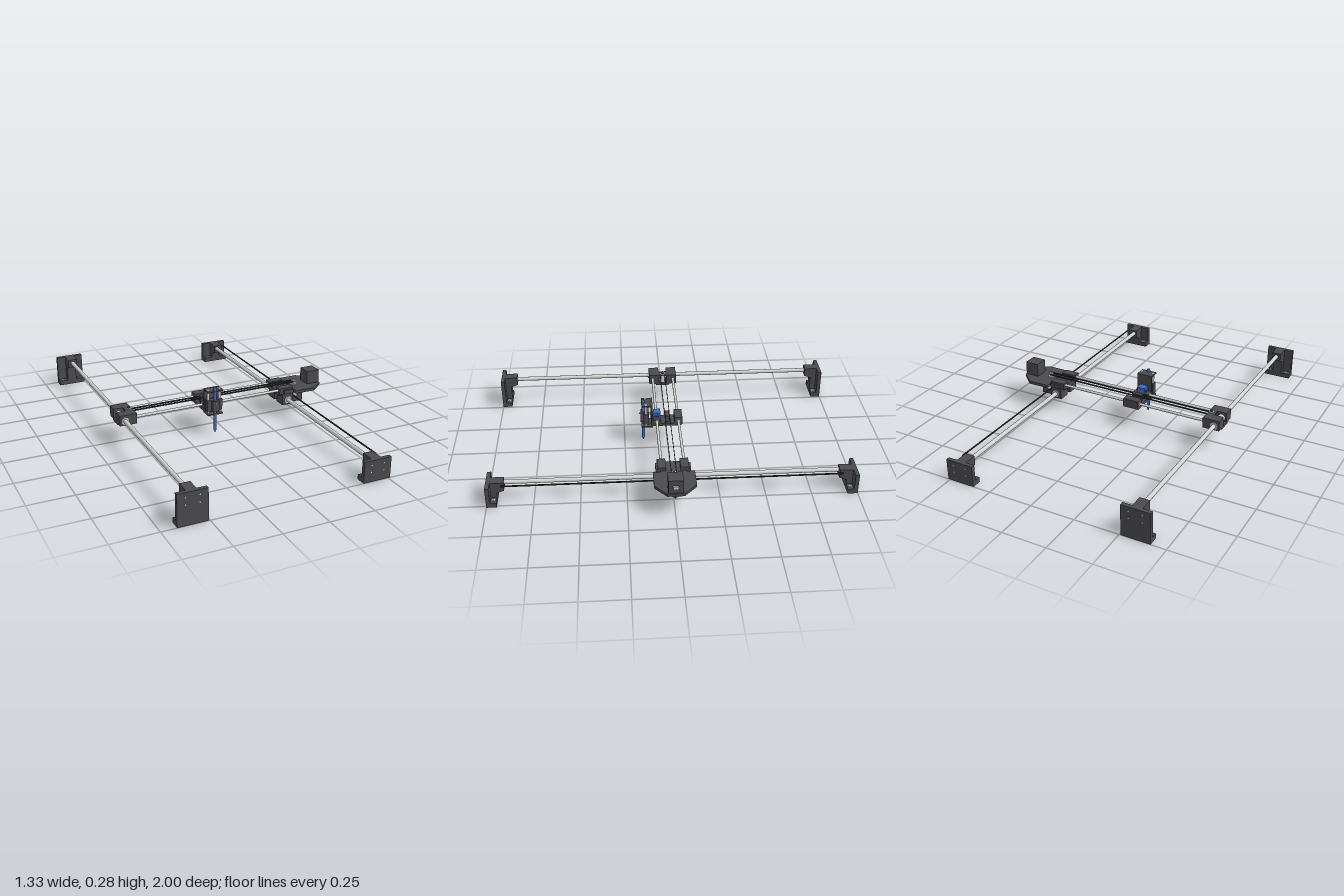
import * as THREE from 'three';

export function createModel() {
  const model = new THREE.Group();
  const mat = (name, color) => {
    const m = new THREE.MeshStandardMaterial({ color });
    m.name = name;
    return m;
  };
  const dark = mat('dark plastic', 0x4b4a4e);
  const steel = mat('steel', 0xcfd0d0);
  const blue = mat('blue plastic', 0x3f6cc0);
  const black = mat('black rubber', 0x262826);

  const add = (name, geo, material, parent = model) => {
    const m = new THREE.Mesh(geo, material);
    m.name = name;
    parent.add(m);
    return m;
  };
  // Box given by its limits on each axis
  const box = (name, x0, x1, y0, y1, z0, z1, material = dark, parent = model) => {
    const m = add(name, new THREE.BoxGeometry(x1 - x0, y1 - y0, z1 - z0), material, parent);
    m.position.set((x0 + x1) / 2, (y0 + y1) / 2, (z0 + z1) / 2);
    return m;
  };
  // Cylinder along an axis, centred on a point
  const rod = (name, axis, r, len, x, y, z, material = steel, parent = model) => {
    const g = new THREE.CylinderGeometry(r, r, len, 24);
    if (axis === 'x') g.rotateZ(Math.PI / 2);
    if (axis === 'z') g.rotateX(Math.PI / 2);
    const m = add(name, g, material, parent);
    m.position.set(x, y, z);
    return m;
  };
  // Outline in (x, z), extruded upward from y0 to y1
  const slab = (name, points, y0, y1, material = dark) => {
    const s = new THREE.Shape(points.map(([x, z]) => new THREE.Vector2(x, -z)));
    const g = new THREE.ExtrudeGeometry(s, { depth: y1 - y0, bevelEnabled: false });
    g.rotateX(-Math.PI / 2);
    add(name, g, material).position.y = y0;
  };

  // End stands: wall plate, base flange and a rod clamp on a rib
  const stand = (x, top, turn) => {
    const g = new THREE.Group();
    g.name = 'endStand';
    box('wallPlate', -0.08, 0.08, 0, top, 0.978, 1, dark, g);
    box('baseFlange', -0.08, 0.08, 0, 0.028, 0.945, 0.978, dark, g);
    const s = new THREE.Shape([[0.978, top], [0.905, top], [0.905, top - 0.05], [0.945, top - 0.065],
      [0.945, 0.02], [0.978, 0.02]].map(([z, y]) => new THREE.Vector2(-z, y)));
    const cg = new THREE.ExtrudeGeometry(s, { depth: 0.056, bevelEnabled: false });
    cg.translate(0, 0, -0.028).rotateY(Math.PI / 2);
    add('rodClamp', cg, dark, g);
    for (const sx of [-1, 1]) {
      rod('flangeScrew', 'y', 0.009, 0.006, sx * 0.055, 0.028, 0.962, steel, g);
      rod('flangeScrewSocket', 'y', 0.004, 0.002, sx * 0.055, 0.031, 0.962, dark, g);
      for (const dy of [0.025, 0.065])
        rod('plateScrew', 'z', 0.004, 0.002, sx * 0.037, top - dy, 1, steel, g);
    }
    g.position.x = x;
    g.rotation.y = turn;
    model.add(g);
  };
  for (const turn of [0, Math.PI]) {
    stand(-0.587, 0.175, turn);
    stand(0.432, 0.12, turn);
  }

  // Long rails
  rod('leftRail', 'z', 0.012, 1.9, -0.587, 0.152, 0);
  rod('rightRail', 'z', 0.012, 1.9, 0.422, 0.1, 0);

  // Cross rails and the belt loop between them
  for (const z of [-0.063, 0.062]) rod('crossRail', 'x', 0.008, 0.96, -0.07, 0.158, z);
  for (const z of [-0.014, 0.014]) box('crossBelt', -0.535, 0.503, 0.17, 0.179, z - 0.0015, z + 0.0015, black);

  // Left carriage with idler pulley
  for (const s of [-1, 1]) {
    const z = s * 0.053;
    box('leftCarriageBlock', -0.617, -0.519, 0.125, 0.185, z - 0.03, z + 0.03);
    rod('leftBearing', 'z', 0.021, 0.008, -0.587, 0.152, s * 0.083);
  }
  box('leftCarriageFloor', -0.617, -0.519, 0.115, 0.13, -0.04, 0.04);
  rod('leftCentreBearing', 'z', 0.02, 0.05, -0.587, 0.152, 0);
  box('leftCarriageBridge', -0.562, -0.519, 0.178, 0.185, -0.03, 0.03);
  rod('idlerPulley', 'y', 0.013, 0.045, -0.535, 0.154, 0);
  rod('idlerWasher', 'y', 0.015, 0.004, -0.536, 0.187, 0);
  rod('idlerBolt', 'y', 0.008, 0.008, -0.536, 0.192, 0, dark);

  // Right carriage around the lower rail
  for (const s of [-1, 1]) {
    box('rightCarriageBlock', 0.387, 0.457, 0.07, 0.14, s * 0.05 - 0.035, s * 0.05 + 0.035);
    rod('rightBearing', 'z', 0.021, 0.008, 0.422, 0.1, s * 0.086);
    box('crossRailClamp', 0.367, 0.453, 0.14, 0.175, s * 0.062 - 0.023, s * 0.062 + 0.023);
    box('clampTab', 0.392, 0.453, 0.14, 0.165, s * 0.085 - 0.01, s * 0.085 + 0.01);
    rod('beltIdler', 'y', 0.012, 0.03, 0.487, 0.12, s * 0.055);
  }
  box('rightCarriageDeck', 0.367, 0.47, 0.128, 0.155, -0.07, 0.07);
  slab('motorPlate', [[0.463, -0.115], [0.585, -0.115], [0.66, -0.045], [0.66, 0.045],
    [0.585, 0.11], [0.463, 0.11]], 0.14, 0.157);

  // Cross drive motor below the plate, pulley above it
  box('crossMotor', 0.463, 0.545, 0.06, 0.14, -0.04, 0.04);
  rod('crossMotorBoss', 'y', 0.021, 0.008, 0.503, 0.159, 0);
  rod('crossPulley', 'y', 0.012, 0.022, 0.503, 0.174, 0);
  rod('crossPulleyBore', 'y', 0.005, 0.002, 0.503, 0.1855, 0, dark);

  // Long drive motor above the plate, pulley below it
  box('longMotor', 0.575, 0.655, 0.157, 0.235, -0.04, 0.04);
  box('motorSocket', 0.655, 0.664, 0.185, 0.203, -0.015, 0.015, steel);
  rod('longPulley', 'y', 0.013, 0.036, 0.613, 0.122, 0);

  // Long belt, detouring around the drive pulley
  const path = [[0.473, -0.92], [0.473, -0.055], [0.487, -0.042], [0.613, -0.015], [0.628, 0],
    [0.613, 0.015], [0.487, 0.042], [0.473, 0.055], [0.473, 0.92]];
  for (let i = 1; i < path.length; i++) {
    const [x0, z0] = path[i - 1], [x1, z1] = path[i];
    const m = add('longBelt', new THREE.BoxGeometry(0.003, 0.009, Math.hypot(x1 - x0, z1 - z0)), black);
    m.position.set((x0 + x1) / 2, 0.108, (z0 + z1) / 2);
    m.rotation.y = Math.atan2(x1 - x0, z1 - z0);
  }

  // Tool carriage riding on the cross rails
  const cx = -0.076;
  for (const [z, top] of [[-0.063, 0.182], [0.062, 0.169]]) {
    box('toolCarriageBlock', cx - 0.046, cx + 0.046, 0.137, top, z - 0.023, z + 0.023);
    for (const s of [-1, 1]) rod('toolBearing', 'x', 0.011, 0.004, cx + s * 0.046, 0.158, z);
  }
  box('toolCarriageFloor', cx - 0.046, cx + 0.046, 0.128, 0.145, -0.08, 0.085);
  box('beltGrip', cx - 0.03, cx + 0.03, 0.145, 0.185, -0.012, 0.012);

  // Lifting frame with guide rods and slider
  box('liftBackPlate', cx - 0.046, cx + 0.046, 0.12, 0.265, 0.086, 0.094);
  for (const y of [0.12, 0.257]) box('liftEndPlate', cx - 0.046, cx + 0.046, y, y + 0.007, 0.094, 0.15);
  for (const s of [-1, 1]) rod('liftGuide', 'y', 0.008, 0.146, cx + s * 0.035, 0.193, 0.125);
  box('liftSlider', cx - 0.046, cx + 0.046, 0.14, 0.207, 0.107, 0.138);
  box('penClamp', cx - 0.02, cx + 0.02, 0.142, 0.205, 0.132, 0.155);
  rod('clampScrew', 'z', 0.005, 0.012, cx, 0.19, 0.157);

  // Lifting servo
  box('servoBody', cx - 0.024, cx + 0.024, 0.169, 0.202, 0.04, 0.082, blue);
  box('servoFlange', cx - 0.032, cx + 0.032, 0.18, 0.188, 0.05, 0.075, blue);
  rod('servoHorn', 'z', 0.008, 0.02, cx + 0.012, 0.195, 0.092, blue);

  // Pen
  const pen = [[0, 0.008], [0.003, 0.01], [0.004, 0.018], [0.009, 0.026], [0.009, 0.272], [0.008, 0.28], [0, 0.28]];
  const pg = new THREE.LatheGeometry(pen.map(([r, y]) => new THREE.Vector2(r, y)), 16);
  add('pen', pg, blue).position.set(cx, 0, 0.14);

  return model;
}
